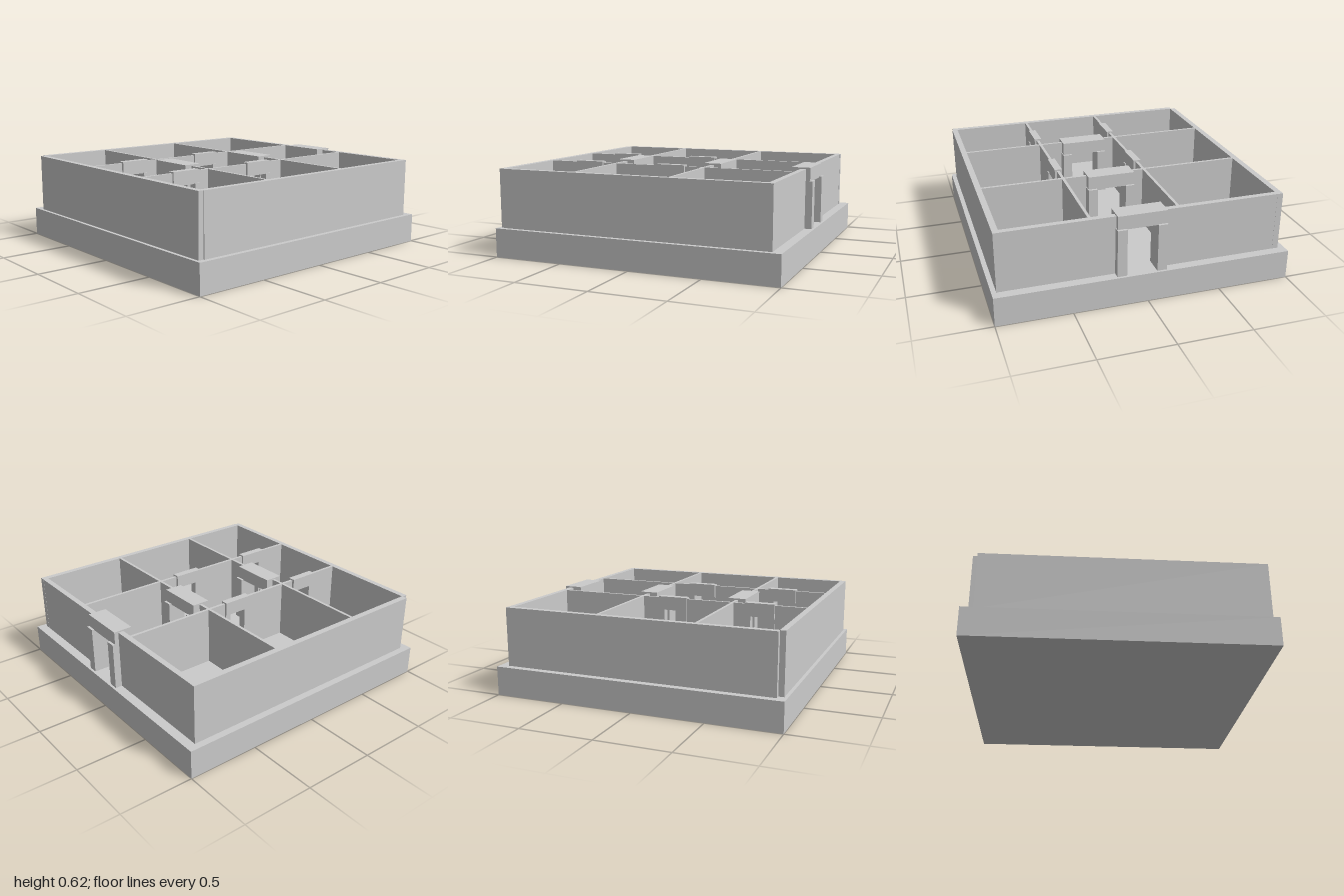
import * as THREE from 'three';

const material = new THREE.MeshStandardMaterial({ color: 0xcccccc, flatShading: true });
const FLOOR = 0.2, WALL_TOP = 0.605, DOOR_TOP = 0.525, LINTEL_BOTTOM = 0.52, LINTEL_TOP = 0.615;

// Box given by its extents along each axis
function block(parent, name, [x0, x1], [y0, y1], [z0, z1]) {
  const mesh = new THREE.Mesh(new THREE.BoxGeometry(x1 - x0, y1 - y0, z1 - z0), material);
  mesh.position.set((x0 + x1) / 2, (y0 + y1) / 2, (z0 + z1) / 2);
  mesh.name = name;
  parent.add(mesh);
}

// Wall pieces along one axis, split by the door openings
function wall(parent, name, axis, thickness, spans) {
  for (const span of spans) {
    const [x, z] = axis === 'x' ? [span, thickness] : [thickness, span];
    block(parent, name, x, [FLOOR, WALL_TOP], z);
  }
}

// Wide portal in a wall running along z; the jambs project past the lintel
function widePortal(parent, x) {
  const portal = new THREE.Group();
  portal.name = 'widePortal';
  block(portal, 'lintel', [x - 0.065, x + 0.065], [LINTEL_BOTTOM, LINTEL_TOP], [-0.13, 0.2]);
  for (const z of [[-0.13, -0.065], [0.14, 0.205]])
    block(portal, 'jamb', [x - 0.05, x + 0.083], [FLOOR, DOOR_TOP], z);
  parent.add(portal);
}

// Narrow doorway in a wall running along x
function doorway(parent, x, z) {
  const door = new THREE.Group();
  door.name = 'doorway';
  block(door, 'lintel', [x - 0.105, x + 0.105], [LINTEL_BOTTOM, LINTEL_TOP], [z - 0.027, z + 0.025]);
  for (const jx of [[x - 0.105, x - 0.065], [x + 0.065, x + 0.105]])
    block(door, 'jamb', jx, [FLOOR, DOOR_TOP], [z - 0.02, z + 0.032]);
  parent.add(door);
}

export function createModel() {
  const model = new THREE.Group();
  model.name = 'roofless building';

  block(model, 'foundation', [-1, 1], [0, FLOOR], [-1, 1]);

  // Outer walls, with the entrance opening on the +x side
  wall(model, 'leftWall', 'z', [-0.977, -0.937], [[-0.92, 0.962]]);
  wall(model, 'backWall', 'x', [-0.953, -0.912], [[-0.94, 0.936]]);
  wall(model, 'frontWall', 'x', [0.928, 0.968], [[-0.94, 0.936]]);
  wall(model, 'entranceWall', 'z', [0.897, 0.935], [[-0.912, -0.13], [0.2, 0.928]]);

  // Partitions along z with wide portals
  for (const x of [-0.415, 0.265]) {
    wall(model, 'partition', 'z', [x - 0.01, x + 0.01], [[-0.912, -0.13], [0.2, 0.928]]);
    widePortal(model, x);
  }
  widePortal(model, 0.9);

  // Partitions along x with narrow doorways
  for (const z of [-0.222, 0.364]) {
    wall(model, 'crossPartition', 'x', [z - 0.01, z + 0.01],
      [[-0.937, -0.715], [-0.515, -0.075], [0.125, 0.897]]);
    for (const x of [-0.615, 0.025]) doorway(model, x, z);
  }
  return model;
}
